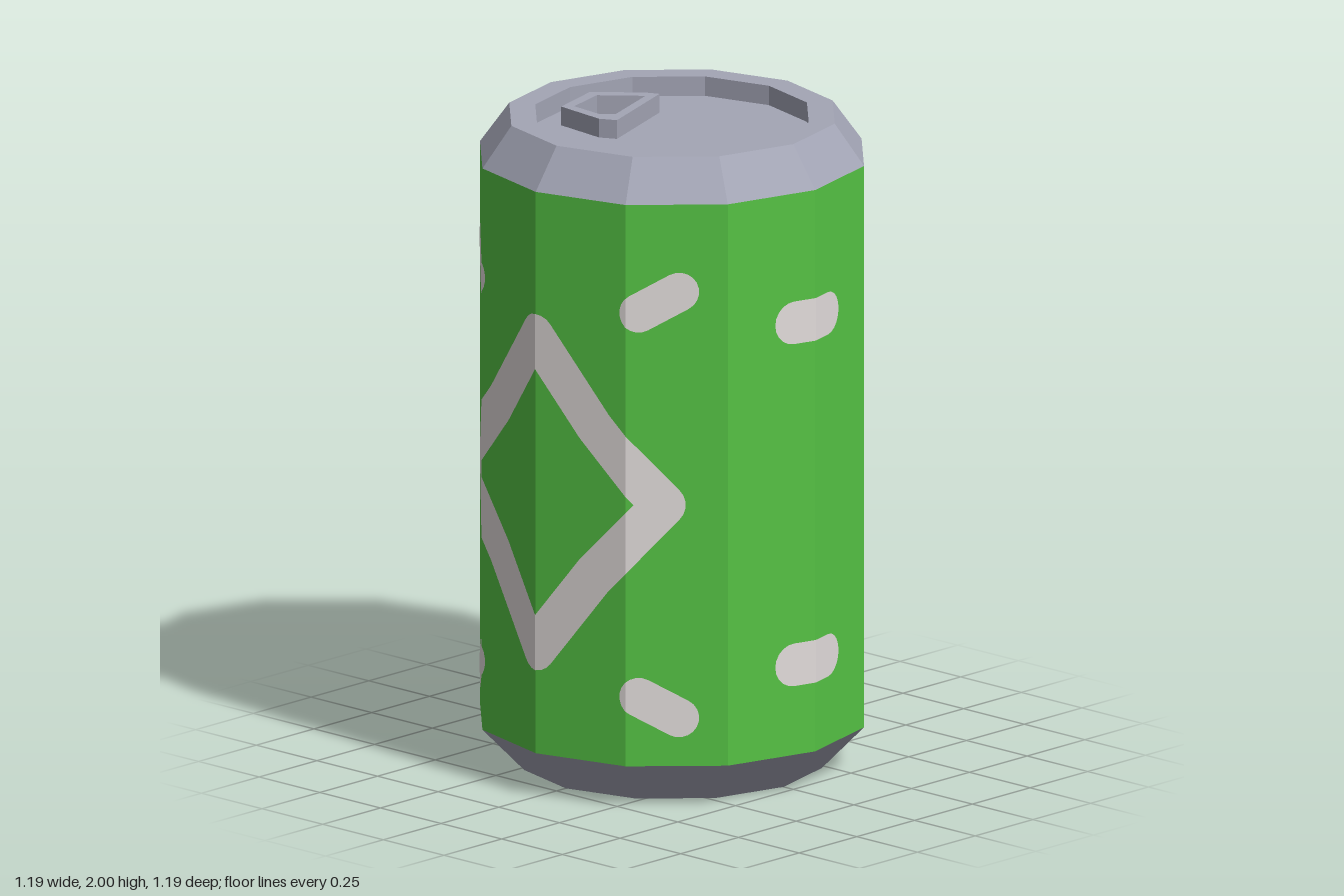
import * as THREE from 'three';

const SIDES = 12, R = 0.59;
const W = 2 * R * Math.sin(Math.PI / SIDES); // width of one flat side

const material = (name, color) => {
  const m = new THREE.MeshStandardMaterial({ color });
  m.name = name;
  return m;
};

// Faceted twelve-sided surface of revolution
function faceted(profile) {
  const points = profile.map(([r, y]) => new THREE.Vector2(r, y));
  const g = new THREE.LatheGeometry(points, SIDES).toNonIndexed();
  g.computeVertexNormals();
  return g;
}

// Rounded stroke between two points of the unrolled side (u around, v up)
function stroke([u0, v0], [u1, v1], r) {
  const a = Math.atan2(v1 - v0, u1 - u0), n = 10, pts = [];
  for (let k = 0; k <= n; k++) {
    const t = a - Math.PI / 2 + Math.PI * k / n;
    pts.push([u1 + r * Math.cos(t), v1 + r * Math.sin(t)]);
  }
  for (let k = 0; k <= n; k++) {
    const t = a + Math.PI / 2 + Math.PI * k / n;
    pts.push([u0 + r * Math.cos(t), v0 + r * Math.sin(t)]);
  }
  return pts;
}

// Keep the part of a convex polygon where sign * (u - limit) >= 0
function clip(poly, limit, sign) {
  const out = [];
  poly.forEach((p, i) => {
    const q = poly[(i + 1) % poly.length];
    const dp = sign * (p[0] - limit), dq = sign * (q[0] - limit);
    if (dp >= 0) out.push(p);
    if (dp * dq < 0) {
      const t = dp / (dp - dq);
      out.push([limit, p[1] + (q[1] - p[1]) * t]);
    }
  });
  return out;
}

// Wrap convex polygons around the flat sides, just above the surface
function wrap(polys) {
  const pos = [], r = R + 0.003;
  const corner = i => {
    const a = i * 2 * Math.PI / SIDES;
    return [r * Math.sin(a), r * Math.cos(a)];
  };
  for (const poly of polys) {
    const us = poly.map(p => p[0]);
    const last = Math.floor(Math.max(...us) / W);
    for (let i = Math.floor(Math.min(...us) / W); i <= last; i++) {
      const piece = clip(clip(poly, i * W, 1), (i + 1) * W, -1);
      const [x0, z0] = corner(i), [x1, z1] = corner(i + 1);
      const p3 = piece.map(([u, v]) => {
        const t = u / W - i;
        return [x0 + (x1 - x0) * t, v, z0 + (z1 - z0) * t];
      });
      for (let k = 1; k < p3.length - 1; k++) pos.push(...p3[0], ...p3[k], ...p3[k + 1]);
    }
  }
  const g = new THREE.BufferGeometry();
  g.setAttribute('position', new THREE.Float32BufferAttribute(pos, 3));
  g.computeVertexNormals();
  return g;
}

export function createModel() {
  const green = material('green paint', 0x55c244);
  const metal = material('grey metal', 0xa3a5b5);
  const pale = material('pale paint', 0xe2dcdb);
  const group = new THREE.Group();
  const add = (name, geometry, mat) => {
    const mesh = new THREE.Mesh(geometry, mat);
    mesh.name = name;
    group.add(mesh);
  };

  // Can: painted wall, recessed base and recessed lid
  add('body', faceted([[R, 0.135], [R, 1.875]]), green);
  add('base', faceted([[0, 0.05], [0.42, 0.05], [0.46, 0], [R, 0.135]]), metal);
  add('lid', faceted([[R, 1.875], [0.5, 2], [0.42, 2], [0.42, 1.94], [0, 1.94]]), metal);

  // Pull tab: small ring standing on the lid
  const flat = pts => pts.map(([x, z]) => new THREE.Vector2(x, -z));
  const tab = new THREE.Shape(flat([[-0.18, -0.135], [-0.225, -0.115], [-0.345, -0.005],
    [-0.295, 0.17], [-0.12, 0.19], [-0.07, 0.165]]));
  tab.holes.push(new THREE.Path(flat([[-0.195, -0.09], [-0.305, 0.005],
    [-0.27, 0.14], [-0.12, 0.155], [-0.11, 0.145]])));
  const tabGeometry = new THREE.ExtrudeGeometry(tab, { depth: 0.058, bevelEnabled: false });
  tabGeometry.rotateX(-Math.PI / 2).translate(0, 1.94, 0);
  add('pullTab', tabGeometry, metal);

  // Painted marks, the same on front and back and mirrored about mid height
  const midY = 0.945, diamonds = [], dashes = [];
  for (const centre of [0, 6 * W]) {
    for (const v of [-1, 1]) {
      const at = (u, h) => [centre + u, midY + v * h];
      for (const s of [-1, 1]) {
        const arm = [[0, 0.487], [0.2, 0.23], [0.42, 0]].map(([u, h]) => at(s * u, h));
        diamonds.push(stroke(arm[0], arm[1], 0.065), stroke(arm[1], arm[2], 0.065));
        dashes.push(stroke(at(s * 0.345, 0.595), at(s * 0.465, 0.66), 0.06));
      }
      dashes.push(stroke(at(3 * W - 0.075, 0.53), at(3 * W + 0.075, 0.53), 0.066));
    }
  }
  add('diamondOutlines', wrap(diamonds), pale);
  add('dashes', wrap(dashes), pale);
  return group;
}
